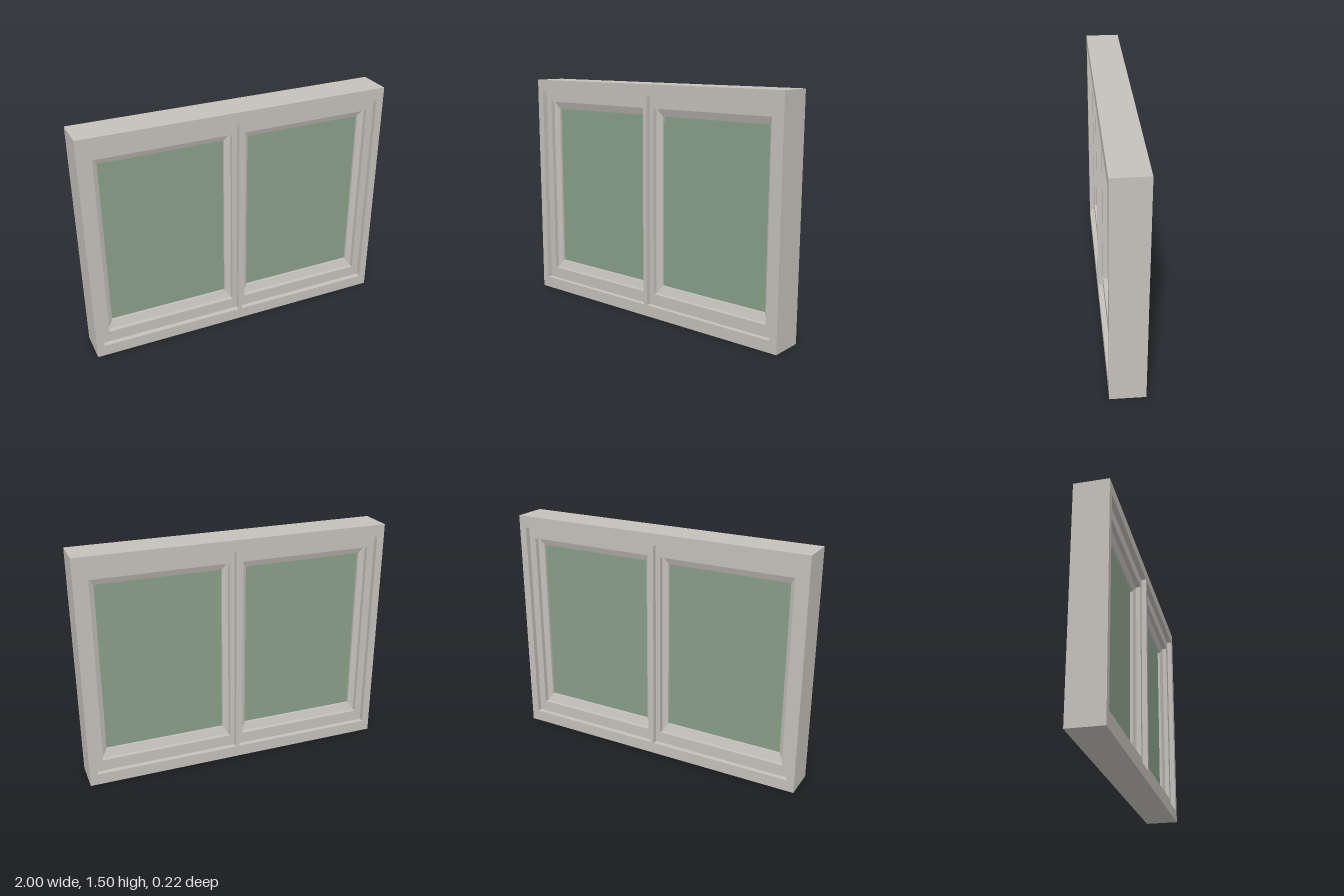
import * as THREE from 'three';

const HEIGHT = 1.505, DEPTH = 0.22;

// Sash cross-section, front half: [x near mullion, x near jamb, y low, y high, z]
const SASH = [
  [0.013, 0.951, 0.075, 1.43, 0.077],
  [0.045, 0.903, 0.15, 1.355, 0.077],
  [0.045, 0.903, 0.15, 1.355, 0.048],
  [0.079, 0.868, 0.2, 1.306, 0.031],
];

const corners = ([a, b, y0, y1, z], side) => {
  const [x0, x1] = side > 0 ? [a, b] : [-b, -a];
  return [[x0, y0, z], [x1, y0, z], [x1, y1, z], [x0, y1, z]];
};

// Joins successive rectangles into a mitred, flat-faced ring
function mitredRing(rects) {
  const pos = [];
  for (let k = 0; k < rects.length - 1; k++) {
    const a = rects[k], b = rects[k + 1];
    for (let i = 0; i < 4; i++) {
      const j = (i + 1) % 4;
      pos.push(...a[i], ...a[j], ...b[j], ...a[i], ...b[j], ...b[i]);
    }
  }
  const geo = new THREE.BufferGeometry();
  geo.setAttribute('position', new THREE.Float32BufferAttribute(pos, 3));
  geo.computeVertexNormals();
  return geo;
}

function add(parent, name, geometry, material) {
  const mesh = new THREE.Mesh(geometry, material);
  mesh.name = name;
  parent.add(mesh);
  return mesh;
}

export function createModel() {
  const group = new THREE.Group();
  group.name = 'window';
  const frameMat = new THREE.MeshStandardMaterial({ color: 0xc4c0ba });
  frameMat.name = 'frame grey';
  const glassMat = new THREE.MeshStandardMaterial({ color: 0x899e88 });
  glassMat.name = 'glass green';

  // Outer frame with a central mullion between two openings
  const outline = new THREE.Shape([[-1, 0], [1, 0], [1, HEIGHT], [-1, HEIGHT]].map(p => new THREE.Vector2(...p)));
  for (const side of [-1, 1]) {
    outline.holes.push(new THREE.Path(corners(SASH[0], side).reverse().map(p => new THREE.Vector2(p[0], p[1]))));
  }
  const frame = new THREE.ExtrudeGeometry(outline, { depth: DEPTH, bevelEnabled: false });
  frame.translate(0, 0, -DEPTH / 2);
  add(group, 'outerFrame', frame, frameMat);

  // Sashes with a stepped, bevelled surround, the same on both faces
  const back = SASH.map(r => [...r.slice(0, 4), -r[4]]).reverse();
  const [a, b, y0, y1] = SASH[3];
  for (const side of [-1, 1]) {
    const label = side > 0 ? 'left' : 'right';
    add(group, label + 'Sash', mitredRing([...SASH, ...back].map(r => corners(r, side))), frameMat);
    const pane = add(group, label + 'Glass', new THREE.BoxGeometry(b - a, y1 - y0, 0.03), glassMat);
    pane.position.set(side * (a + b) / 2, (y0 + y1) / 2, 0);
  }
  return group;
}
